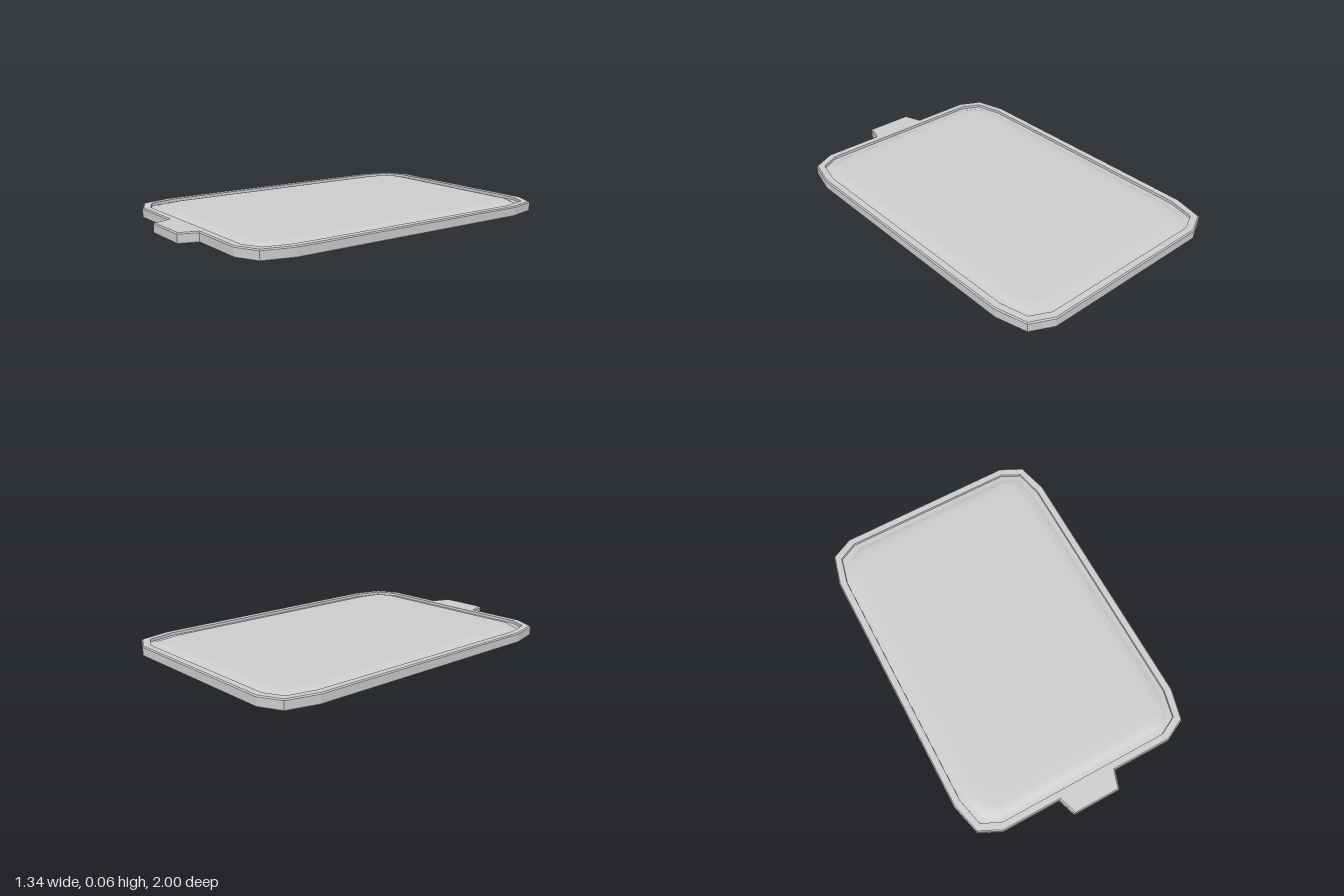
import * as THREE from 'three';
import { mergeVertices } from 'three/addons/utils/BufferGeometryUtils.js';

// Front right quarter of the outline: x, z half-size, and inset weights in x and z
const CORNER = [
  [0.668, 0.72, 1, 0.35],
  [0.624, 0.89, 0.8, 0.8],
  [0.502, 0.95, 0.35, 1],
];
const CENTRE_Z = -0.05;

// One horizontal loop, inset by d at height y; the tab bulges out only when asked for
function ring(d, y, tab) {
  const quarter = CORNER.map(([x, z, wx, wz]) => [x - wx * d, z - wz * d]);
  const place = (sx, sz) => ([x, z]) => new THREE.Vector3(sx * x, y, CENTRE_Z + sz * z);
  const flipped = [...quarter].reverse();
  const edge = 0.9 - d, tip = (tab ? 1.0 : 0.9) - d;
  const tabPoints = [[0.168 - d, edge], [0.134 - d, tip], [d - 0.134, tip], [d - 0.168, edge]]
    .map(([x, z]) => new THREE.Vector3(x, y, z));
  return [
    ...quarter.map(place(1, 1)), ...tabPoints, ...flipped.map(place(-1, 1)),
    ...quarter.map(place(-1, -1)), ...flipped.map(place(1, -1)),
  ];
}

// Join successive loops with quads, then optionally close the first and last
function loft(rings, capFirst, capLast) {
  const points = [];
  for (let r = 0; r < rings.length - 1; r++) {
    const a = rings[r], b = rings[r + 1];
    for (let i = 0; i < a.length; i++) {
      const j = (i + 1) % a.length;
      points.push(a[i], b[i], a[j], a[j], b[i], b[j]);
    }
  }
  const cap = (loop, up) => {
    const flat = loop.map((p) => new THREE.Vector2(p.x, p.z));
    for (const [i, j, k] of THREE.ShapeUtils.triangulateShape(flat, [])) {
      points.push(loop[i], loop[up ? k : j], loop[up ? j : k]);
    }
  };
  if (capFirst) cap(rings[0], false);
  if (capLast) cap(rings[rings.length - 1], true);
  return new THREE.BufferGeometry().setFromPoints(points);
}

export function createModel() {
  const group = new THREE.Group();
  const add = (name, geometry, flatShading) => {
    geometry.computeVertexNormals();
    const material = new THREE.MeshStandardMaterial({ color: 0xcccccc, flatShading });
    const mesh = new THREE.Mesh(geometry, material);
    mesh.name = name;
    group.add(mesh);
  };

  // Underside, chamfered outer wall with the pull tab, flat rim and groove wall
  add('rimAndTab', loft([
    ring(0.006, 0, true),
    ring(0, 0.006, true),
    ring(0, 0.051, true),
    ring(0.006, 0.057, true),
    ring(0.042, 0.057, false),
    ring(0.043, 0.042, false),
  ], true, false), true);

  // Raised panel, swelling softly out of the groove
  add('raisedPanel', mergeVertices(loft([
    ring(0.043, 0.042, false),
    ring(0.07, 0.043, false),
    ring(0.083, 0.05, false),
    ring(0.1, 0.056, false),
    ring(0.125, 0.059, false),
    ring(0.16, 0.06, false),
    ring(0.2, 0.06, false),
  ].map((loop) => loop.filter((p, i) => i < 3 || i > 6)), false, true)), false);

  return group;
}
